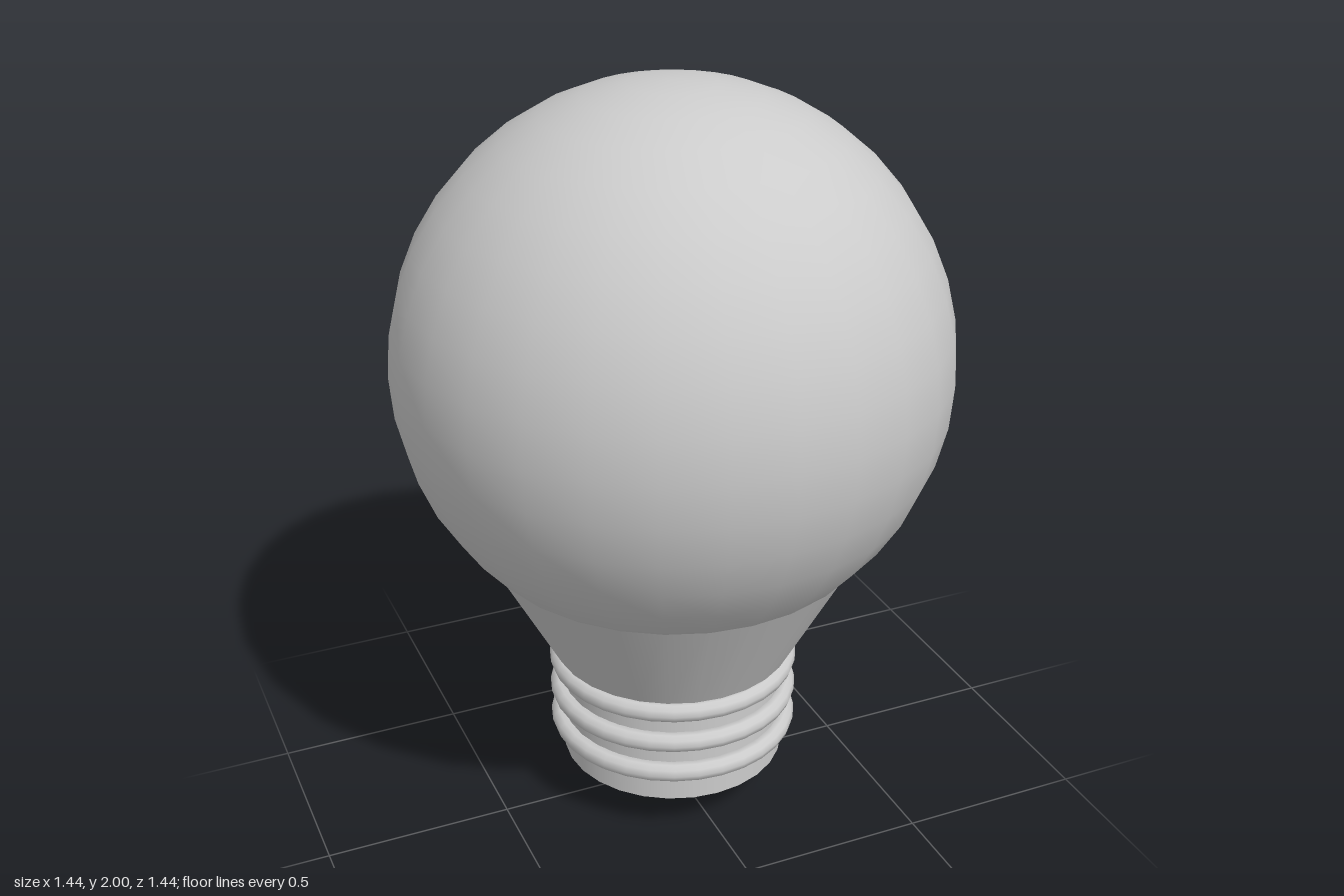
import * as THREE from 'three';

export function createModel() {
  const model = new THREE.Group();
  model.name = 'lightBulb';
  const material = new THREE.MeshStandardMaterial({ color: 0xcccccc });

  const add = (name, geometry, y) => {
    const mesh = new THREE.Mesh(geometry, material);
    mesh.name = name;
    mesh.position.y = y;
    model.add(mesh);
    return mesh;
  };

  // Round glass globe
  add('globe', new THREE.SphereGeometry(0.72, 28, 20), 1.28);

  // Tapered neck, its top hidden inside the globe
  add('neck', new THREE.CylinderGeometry(0.517, 0.325, 0.36, 28), 0.62);

  // Metal screw base
  add('screwBase', new THREE.CylinderGeometry(0.305, 0.305, 0.33, 28), 0.285);

  // Thread rings around the base
  for (let i = 0; i < 3; i++) {
    const ring = new THREE.TorusGeometry(0.313, 0.027, 10, 32);
    ring.rotateX(Math.PI / 2);
    add(`threadRing${i + 1}`, ring, 0.215 + i * 0.095);
  }

  // Electrical contact at the bottom
  add('contactTip', new THREE.SphereGeometry(0.095, 20, 14), 0.097);

  return model;
}
